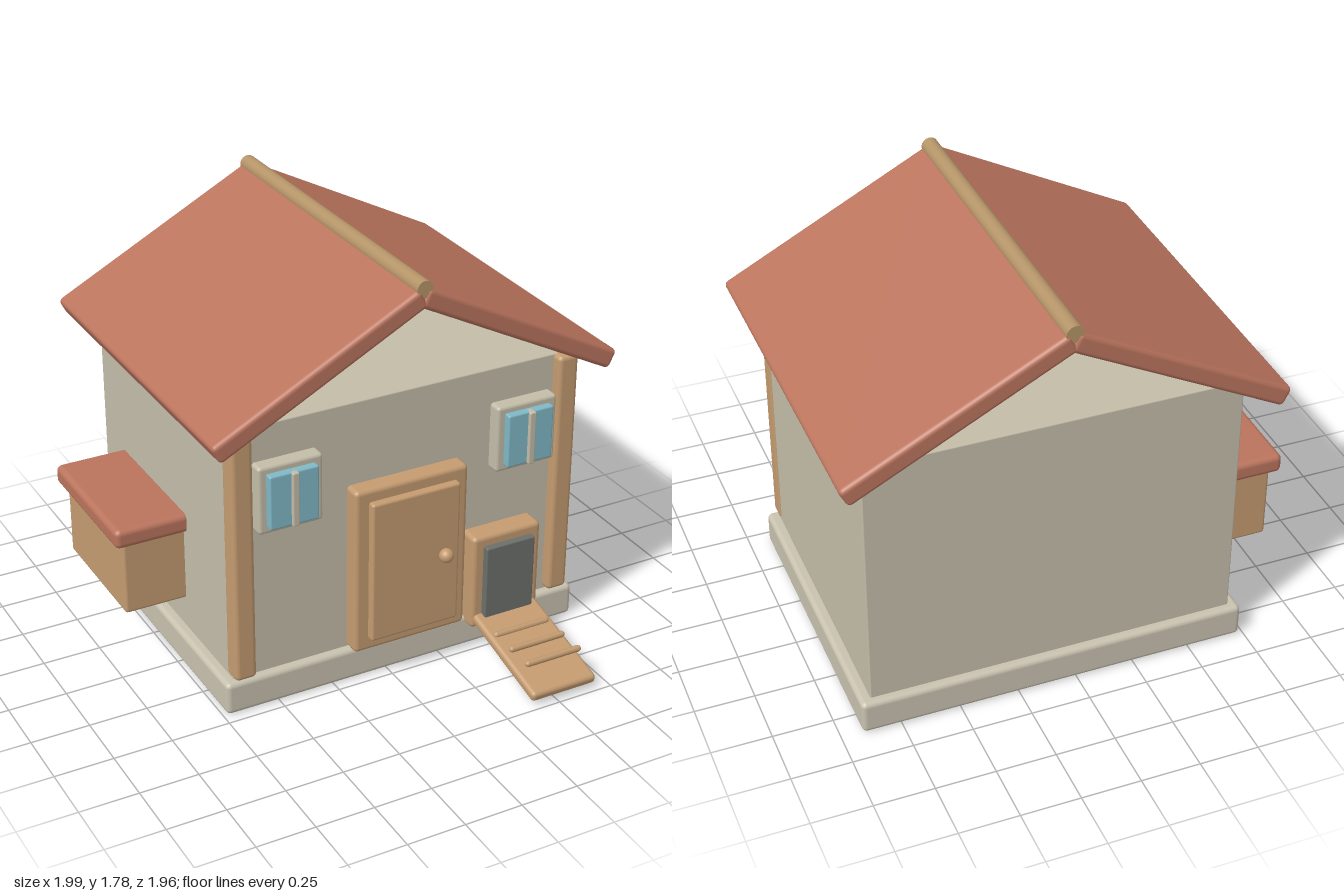
import * as THREE from 'three';
import { RoundedBoxGeometry } from 'three/addons/geometries/RoundedBoxGeometry.js';

export function createModel() {
  const house = new THREE.Group();
  house.name = 'coop';

  const mat = (name, color) => {
    const m = new THREE.MeshStandardMaterial({ color });
    m.name = name;
    return m;
  };
  const plaster = mat('plaster', 0xc3bca8);
  const stone = mat('stone', 0xc8c1af);
  const tile = mat('roofTile', 0xba745d);
  const wood = mat('wood', 0xc49b70);
  const ridgeWood = mat('ridgeWood', 0xb59468);
  const glass = mat('glass', 0x7fb8c6);
  const dark = mat('darkOpening', 0x6b6f6a);

  const add = (name, geometry, material, parent = house) => {
    const mesh = new THREE.Mesh(geometry, material);
    mesh.name = name;
    parent.add(mesh);
    return mesh;
  };
  // Rounded block given by its extents on each axis
  const block = (name, [x0, x1], [y0, y1], [z0, z1], r, material, parent) => {
    const mesh = add(name, new RoundedBoxGeometry(x1 - x0, y1 - y0, z1 - z0, 3, r), material, parent);
    mesh.position.set((x0 + x1) / 2, (y0 + y1) / 2, (z0 + z1) / 2);
    return mesh;
  };

  const cx = 0.088; // middle of the house, left and right of the ridge

  // Foundation and walls
  block('foundation', [-0.735, 0.912], [0, 0.145], [-0.868, 0.456], 0.022, stone);
  block('walls', [-0.69, 0.866], [0.13, 1.262], [-0.832, 0.42], 0.006, plaster);

  // Front corner posts and windows, mirrored about the ridge
  for (const side of [-1, 1]) {
    const sideName = side < 0 ? 'right' : 'left';
    const px = cx + side * 0.739;
    block(sideName + 'CornerPost', [px - 0.047, px + 0.047], [0.155, 1.262], [0.375, 0.467], 0.02, wood);

    const win = new THREE.Group();
    win.name = sideName + 'Window';
    win.position.x = cx + side * 0.538;
    house.add(win);
    block('windowFrame', [-0.141, 0.141], [0.812, 1.108], [0.40, 0.478], 0.015, plaster, win);
    block('windowGlass', [-0.107, 0.107], [0.842, 1.078], [0.46, 0.51], 0.008, glass, win);
    block('windowMullion', [-0.015, 0.015], [0.842, 1.078], [0.48, 0.525], 0.006, plaster, win);
  }

  // Two sloping roof panels under a ridge pole
  const slope = Math.atan2(0.46, 0.888);
  const panelLength = 1.0, roofZ = -0.21;
  for (const side of [-1, 1]) {
    const panel = add(side < 0 ? 'rightRoofPanel' : 'leftRoofPanel',
      new RoundedBoxGeometry(panelLength, 0.085, 1.542, 3, 0.02), tile);
    panel.position.set(cx + side * Math.cos(slope) * panelLength / 2,
      1.709 - Math.sin(slope) * panelLength / 2, roofZ);
    panel.rotation.z = -side * slope;
  }
  const ridge = add('ridgePole', new THREE.CylinderGeometry(0.036, 0.036, 1.53, 16), ridgeWood);
  ridge.rotation.x = Math.PI / 2;
  ridge.position.set(cx, 1.744, roofZ);

  // Main door
  block('doorFrame', [-0.174, 0.346], [0.145, 0.898], [0.40, 0.493], 0.02, wood);
  block('doorPanel', [-0.113, 0.293], [0.203, 0.843], [0.47, 0.525], 0.012, wood);
  const knob = add('doorKnob', new THREE.SphereGeometry(0.031, 20, 14), wood);
  knob.position.set(0.22, 0.532, 0.545);

  // Small animal door
  block('hatchFrame', [0.372, 0.698], [0.11, 0.545], [0.40, 0.51], 0.02, wood);
  block('hatchOpening', [0.42, 0.652], [0.15, 0.5], [0.48, 0.54], 0.006, dark);

  // Ramp with rungs
  const tilt = Math.atan2(0.115, 0.47);
  const ramp = add('ramp', new RoundedBoxGeometry(0.308, 0.045, 0.5, 3, 0.018), wood);
  ramp.rotation.x = tilt;
  ramp.position.set(0.535, 0.098, 0.737);
  for (const z of [0.642, 0.763, 0.884]) {
    const rung = add('rampRung', new THREE.CapsuleGeometry(0.014, 0.24, 4, 10), wood);
    rung.rotation.z = Math.PI / 2;
    rung.position.set(0.535, 0.145, z);
  }

  // Nest box on the side wall
  block('nestBox', [-0.96, -0.67], [0.283, 0.625], [-0.615, -0.025], 0.014, wood);
  block('nestBoxLid', [-1, -0.67], [0.61, 0.695], [-0.645, 0.008], 0.025, tile);

  return house;
}
